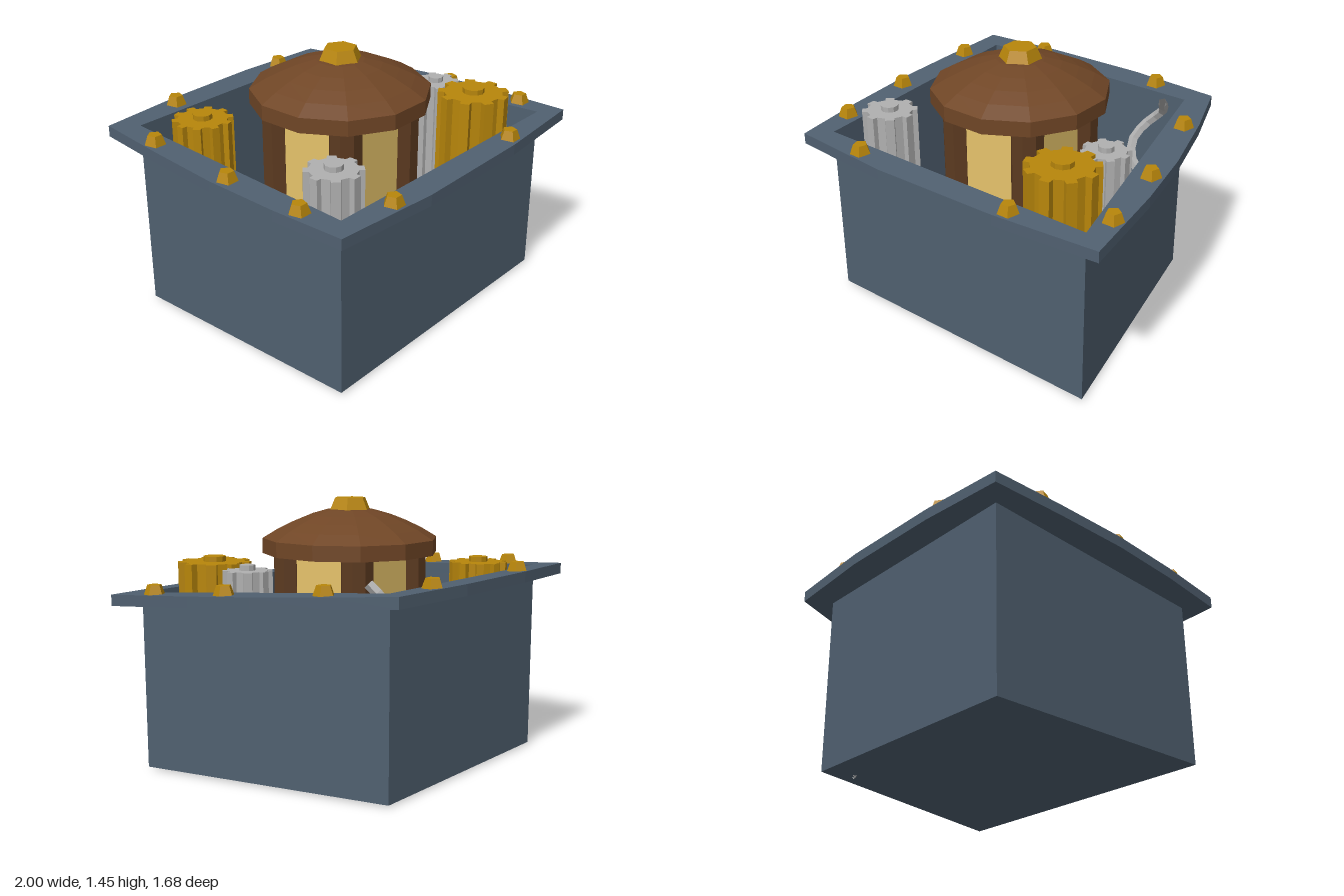
import * as THREE from 'three';

const mat = (name, color, extra = {}) => {
  const m = new THREE.MeshStandardMaterial({ color, flatShading: true, ...extra });
  m.name = name;
  return m;
};

// Height of the tilted rim's top surface
const rimY = z => 1.03 - 0.0635 * z;

// Plate from a flat (x, z) outline, its top at y = 0 and reaching down by depth
function plate(outline, depth, hole) {
  const shape = new THREE.Shape(outline.map(p => new THREE.Vector2(...p)));
  if (hole) shape.holes.push(new THREE.Path(hole.map(p => new THREE.Vector2(...p))));
  return new THREE.ExtrudeGeometry(shape, { depth, bevelEnabled: false }).rotateX(Math.PI / 2);
}

function gearOutline(teeth, r) {
  const pts = [], step = Math.PI * 2 / teeth;
  for (let i = 0; i < teeth; i++) {
    for (const [f, k] of [[-0.27, 0.82], [-0.2, 1], [0.2, 1], [0.27, 0.82]]) {
      const a = (i + f) * step;
      pts.push([r * k * Math.cos(a), r * k * Math.sin(a)]);
    }
  }
  return pts;
}

export function createModel() {
  const root = new THREE.Group();
  const blue = mat('slate blue', 0x506070, { side: THREE.DoubleSide });
  const gold = mat('brass', 0xb8860b);
  const grey = mat('steel', 0xb0b0b0, { side: THREE.DoubleSide });
  const roofBrown = mat('roof brown', 0x704626);
  const postBrown = mat('post brown', 0x5c3a20);
  const cream = mat('window cream', 0xf0cc70);

  const add = (name, geometry, material, x = 0, y = 0, z = 0, parent = root) => {
    const mesh = new THREE.Mesh(geometry, material);
    mesh.name = name;
    mesh.position.set(x, y, z);
    parent.add(mesh);
    return mesh;
  };

  // Open box: skewed footprint, walls up to the underside of the rim
  const foot = [[-0.84, -0.69], [-0.83, 0.685], [0.86, 0.69], [0.53, -0.69]];
  const base = 0.025, pos = [], idx = [0, 6, 4, 0, 4, 2];
  foot.forEach(([x, z], i) => {
    pos.push(x, base, z, x, rimY(z) - 0.06, z);
    const a = i * 2, b = ((i + 1) % 4) * 2;
    idx.push(a, b, b + 1, a, b + 1, a + 1);
  });
  const box = new THREE.BufferGeometry();
  box.setAttribute('position', new THREE.Float32BufferAttribute(pos, 3));
  box.setIndex(idx);
  box.computeVertexNormals();
  add('boxBody', box, blue);

  // Bulging rim, sheared to tilt down towards the front
  const rimOutline = [
    [-0.96, -0.80], [-0.49, -0.835], [0.1, -0.845], [0.63, -0.815],
    [0.75, -0.48], [0.86, -0.09], [0.93, 0.27], [0.995, 0.78],
    [0.41, 0.825], [-0.34, 0.835], [-0.95, 0.79], [-0.985, 0.4], [-1, 0], [-0.985, -0.4],
  ];
  const rim = plate(rimOutline, 0.06, foot);
  const p = rim.attributes.position;
  for (let i = 0; i < p.count; i++) p.setY(i, p.getY(i) + rimY(p.getZ(i)));
  rim.computeVertexNormals();
  add('rim', rim, blue);

  // Five-sided bolts around the rim
  const bolts = [
    [-0.52, -0.77], [0.29, -0.77], [-0.92, -0.48], [0.69, -0.42], [-0.93, 0.05],
    [0.83, 0.11], [-0.91, 0.5], [0.905, 0.54], [-0.54, 0.76], [0.46, 0.76],
  ];
  const boltGeo = new THREE.CylinderGeometry(0.038, 0.06, 0.06, 5).rotateY(Math.PI);
  for (const [x, z] of bolts) add('bolt', boltGeo, gold, x, rimY(z) + 0.02, z);

  // Tall gears standing on the floor, each with a small hub on top
  const gears = [
    [0.55, 0.46, 0.195, 9, 1.14, 0.06, gold],
    [0.60, 0.17, 0.13, 8, 1.12, 0.042, grey],
    [-0.62, 0.46, 0.15, 8, 1.10, 0.048, grey],
    [-0.60, -0.47, 0.162, 10, 1.10, 0.052, gold],
  ];
  for (const [x, z, r, teeth, top, hub, material] of gears) {
    const g = new THREE.Group();
    g.name = 'gear';
    g.position.set(x, top, z);
    root.add(g);
    add('gearTeeth', plate(gearOutline(teeth, r), top - 0.035), material, 0, 0, 0, g);
    add('gearHub', new THREE.CylinderGeometry(hub, hub, 0.028, 10), material, 0, 0.014, 0, g);
  }

  // Coil spring rising from the floor in the back corner
  const coil = [];
  for (let i = 0; i <= 12; i++) {
    const a = i * Math.PI / 3;
    coil.push(new THREE.Vector3(0.088 * Math.cos(a), 0.03 + 1.07 * i / 12, 0.088 * Math.sin(a)));
  }
  const springGeo = new THREE.TubeGeometry(new THREE.CatmullRomCurve3(coil), 24, 0.027, 5);
  add('spring', springGeo, grey, 0.40, 0, -0.53);

  // Central pavilion: window block, corner posts, domed roof and finial
  const pavilion = new THREE.Group();
  pavilion.name = 'pavilion';
  pavilion.position.set(-0.063, 0, 0.025);
  root.add(pavilion);
  const wallH = 1.18 - 0.035;
  add('windows', new THREE.BoxGeometry(0.54, wallH, 0.54), cream, 0, 0.035 + wallH / 2, 0, pavilion);
  const postGeo = new THREE.CylinderGeometry(0.0893, 0.0893, wallH, 8).rotateY(Math.PI / 8);
  for (const sx of [-1, 1]) for (const sz of [-1, 1])
    add('post', postGeo, postBrown, sx * 0.2375, 0.035 + wallH / 2, sz * 0.2375, pavilion);
  const profile = [[0, 1.165], [0.482, 1.165], [0.482, 1.247], [0.40, 1.296], [0.315, 1.337],
    [0.225, 1.373], [0.13, 1.4], [0, 1.412]].map(q => new THREE.Vector2(...q));
  add('roof', new THREE.LatheGeometry(profile, 12).rotateY(Math.PI / 12), roofBrown, 0, 0, 0, pavilion);
  add('finial', new THREE.CylinderGeometry(0.088, 0.118, 0.068, 6), gold, 0, 1.431, 0, pavilion);

  return root;
}
